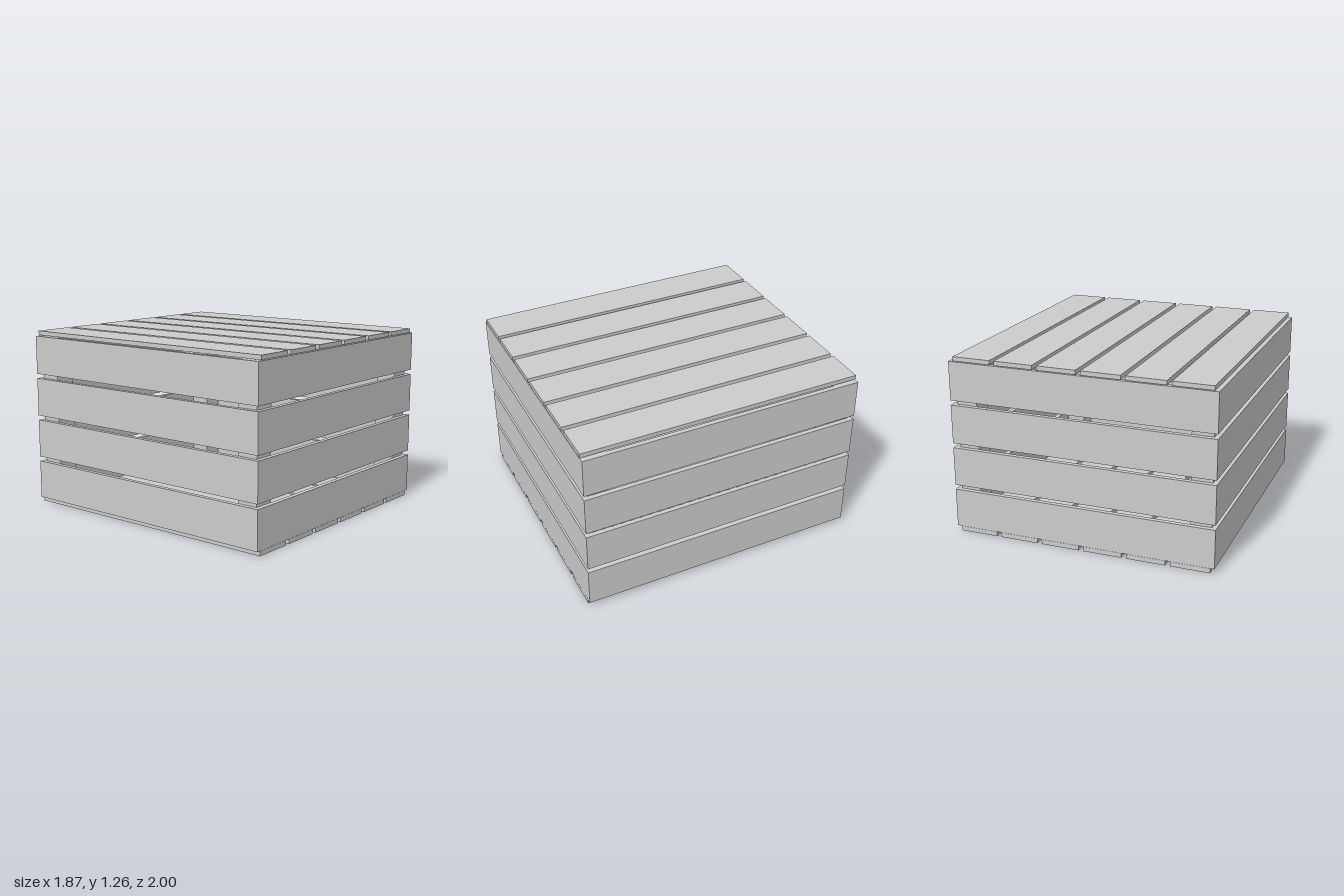
import * as THREE from 'three';

const T = 0.033;            // board thickness
const W = 0.273;            // board width
const PITCH = 0.3063;       // board spacing
const X0 = -0.933, X1 = 0.933, XIN = 0.9;

export function createModel() {
  const crate = new THREE.Group();
  crate.name = 'slattedCrate';
  const material = new THREE.MeshStandardMaterial({ color: 0xcccccc, flatShading: true });

  // box given by its minimum and maximum corners
  function board(parent, name, [x0, y0, z0], [x1, y1, z1]) {
    const mesh = new THREE.Mesh(new THREE.BoxGeometry(x1 - x0, y1 - y0, z1 - z0), material);
    mesh.position.set((x0 + x1) / 2, (y0 + y1) / 2, (z0 + z1) / 2);
    mesh.name = name;
    parent.add(mesh);
  }
  function section(name) {
    const group = new THREE.Group();
    group.name = name;
    crate.add(group);
    return group;
  }

  // floor and lid: six lengthwise boards each
  const floor = section('floor'), lid = section('lid');
  for (let i = 0; i < 6; i++) {
    const x = -0.905 + i * PITCH;
    board(floor, 'floorBoard', [x, 0, -1], [x + W, T, 1]);
    board(lid, 'lidBoard', [x, 1.231, -1], [x + W, 1.261, 1]);
  }

  // walls: four courses of horizontal boards, the left side covering the end grain
  const walls = section('walls');
  for (let i = 0; i < 4; i++) {
    const y = T + i * PITCH + 0.001, top = y + W;
    board(walls, 'frontBoard', [X0, y, 1 - T], [XIN, top, 1]);
    board(walls, 'backBoard', [X0, y, -1], [XIN, top, T - 1]);
    board(walls, 'leftBoard', [XIN, y, -1], [X1, top, 1]);
    board(walls, 'rightBoard', [X0, y, T - 1], [X0 + T, top, 1 - T]);
  }

  // inner corner posts
  const posts = section('cornerPosts');
  for (const x of [-XIN, XIN - 0.147]) {
    for (const z of [T - 1, 1 - T - 0.147]) {
      board(posts, 'cornerPost', [x, T, z], [x + 0.147, 1.225, z + 0.147]);
    }
  }
  return crate;
}
